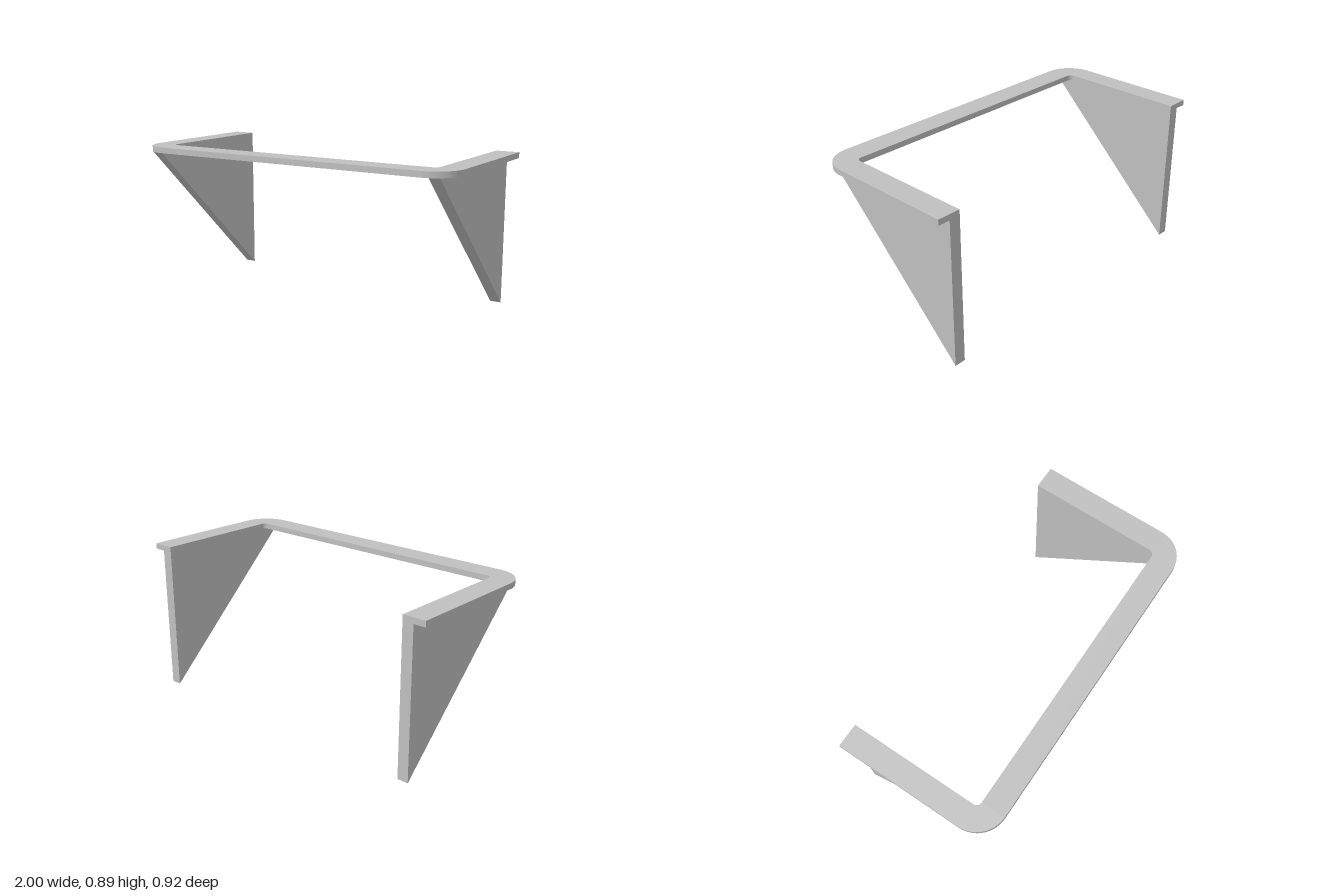
import * as THREE from 'three';
import { toCreasedNormals } from 'three/addons/utils/BufferGeometryUtils.js';

const HALF_DEPTH = 0.46;
const SHELF_BOTTOM = 0.857;
const SHELF_THICKNESS = 0.033;
const INNER_X = 0.865;
const PANEL_THICKNESS = 0.065;

export function createModel() {
  const group = new THREE.Group();
  const grey = new THREE.MeshStandardMaterial({ color: 0xc0c0c0 });
  grey.name = 'light grey';

  // U-shaped top rail with rounded front corners (shape y is -z)
  const R = 0.17, r = 0.03, front = -HALF_DEPTH, innerFront = -0.32;
  const u = new THREE.Shape();
  u.moveTo(-1, HALF_DEPTH);
  u.lineTo(-1, front + R);
  u.absarc(-1 + R, front + R, R, Math.PI, Math.PI * 1.5, false);
  u.lineTo(1 - R, front);
  u.absarc(1 - R, front + R, R, -Math.PI / 2, 0, false);
  u.lineTo(1, HALF_DEPTH);
  u.lineTo(INNER_X, HALF_DEPTH);
  u.lineTo(INNER_X, innerFront + r);
  u.absarc(INNER_X - r, innerFront + r, r, 0, -Math.PI / 2, true);
  u.lineTo(-INNER_X + r, innerFront);
  u.absarc(-INNER_X + r, innerFront + r, r, -Math.PI / 2, -Math.PI, true);
  u.lineTo(-INNER_X, HALF_DEPTH);
  u.closePath();
  const railGeometry = new THREE.ExtrudeGeometry(u, {
    depth: SHELF_THICKNESS, bevelEnabled: false, curveSegments: 16,
  });
  railGeometry.rotateX(-Math.PI / 2);
  const rail = new THREE.Mesh(toCreasedNormals(railGeometry, 0.6), grey);
  rail.name = 'topRail';
  rail.position.y = SHELF_BOTTOM;
  group.add(rail);

  // Triangular side panels, flush with the rail's inner edge (shape x is z)
  const triangle = new THREE.Shape([
    new THREE.Vector2(-HALF_DEPTH, 0),
    new THREE.Vector2(0.428, SHELF_BOTTOM),
    new THREE.Vector2(-HALF_DEPTH, SHELF_BOTTOM),
  ]);
  const panelGeometry = new THREE.ExtrudeGeometry(triangle, {
    depth: PANEL_THICKNESS, bevelEnabled: false,
  });
  panelGeometry.translate(0, 0, -PANEL_THICKNESS / 2);
  panelGeometry.rotateY(-Math.PI / 2);
  for (const side of [-1, 1]) {
    const panel = new THREE.Mesh(panelGeometry, grey);
    panel.name = side > 0 ? 'leftPanel' : 'rightPanel';
    panel.position.x = side * (INNER_X + PANEL_THICKNESS / 2);
    group.add(panel);
  }
  return group;
}
